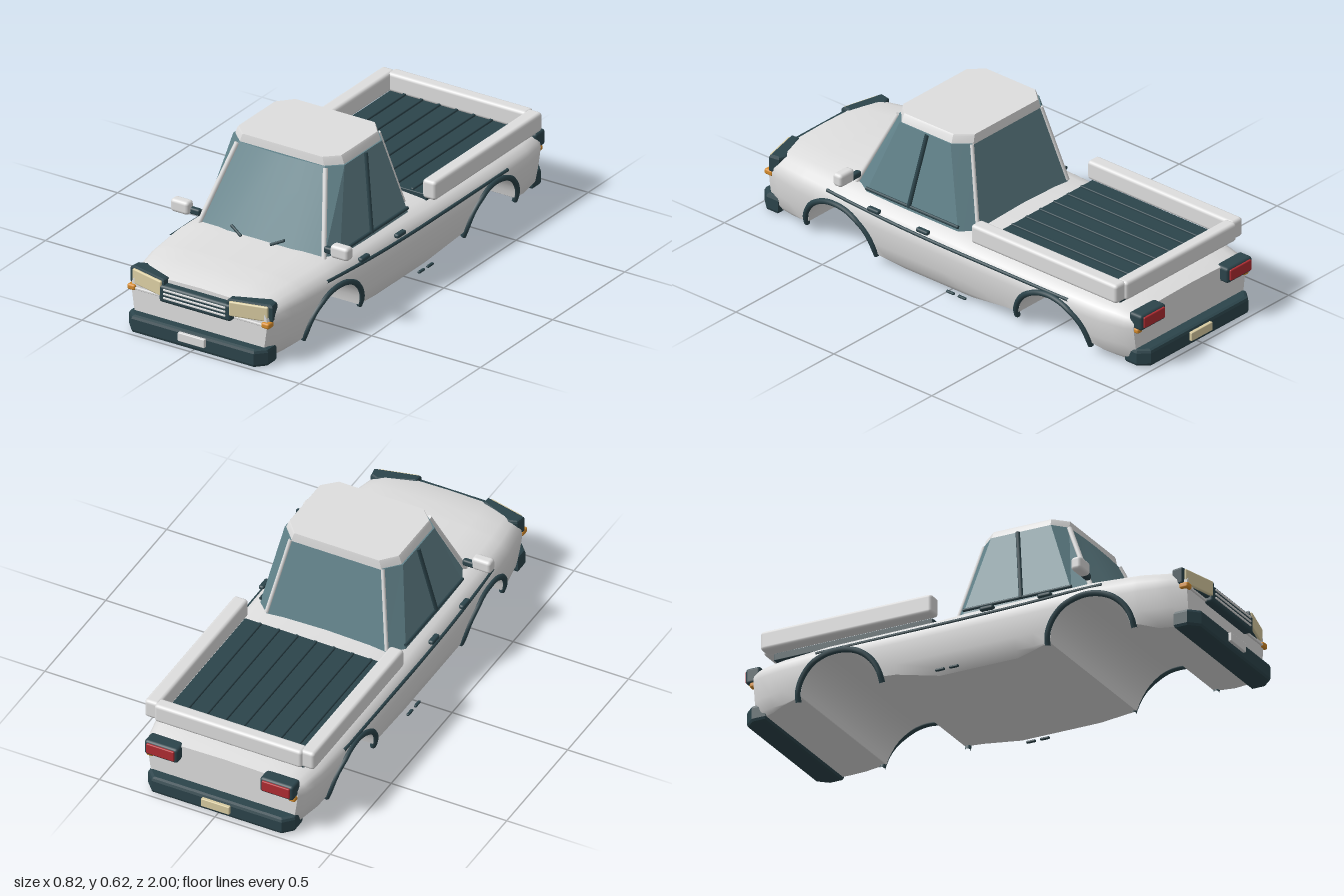
import * as THREE from 'three';
import { toCreasedNormals } from 'three/addons/utils/BufferGeometryUtils.js';
import { RoundedBoxGeometry } from 'three/addons/geometries/RoundedBoxGeometry.js';

const mat = (name, color) => {
  const m = new THREE.MeshStandardMaterial({ color });
  m.name = name;
  return m;
};
const V = (x, y, z) => new THREE.Vector3(x, y, z);

// Linear interpolation in a table of [key, value] with rising keys
function lookup(table, k) {
  if (k <= table[0][0]) return table[0][1];
  for (let i = 1; i < table.length; i++) {
    const [a, va] = table[i - 1], [b, vb] = table[i];
    if (k <= b) return va + (vb - va) * (k - a) / (b - a);
  }
  return table[table.length - 1][1];
}

// Body curves: half width, top height and sill height along z, side profile by height
const WIDTH = [[-0.935, 0.325], [-0.9, 0.345], [-0.8, 0.365], [-0.6, 0.378], [0.55, 0.378], [0.75, 0.36], [0.88, 0.335], [0.94, 0.312]];
const TOP = [[-0.935, 0.236], [-0.85, 0.252], [-0.6, 0.266], [-0.12, 0.272], [0, 0.28], [0.3, 0.285], [0.52, 0.292], [0.75, 0.283], [0.88, 0.268], [0.94, 0.248]];
const SILL = [[-0.935, 0.015], [-0.85, 0.025], [-0.73, 0.05], [-0.36, 0.055], [-0.3, 0.05], [-0.12, 0.015], [0.22, 0.015], [0.36, 0.04], [0.73, 0.045], [0.82, 0.02], [0.94, 0.015]];
const PROFILE = [[0.015, 0.88], [0.04, 0.935], [0.09, 0.965], [0.17, 1], [0.21, 0.99], [0.235, 0.955], [0.255, 0.89], [0.27, 0.78], [0.28, 0.5], [0.285, 0]];
const ARCHES = [0.54, -0.547];
const ARCH_R = 0.172;
const BELT = 0.17;

function bottomY(z) {
  let b = lookup(SILL, z);
  for (const c of ARCHES) {
    const d = Math.abs(z - c);
    if (d < ARCH_R) b = Math.max(b, 0.025 + Math.sqrt(ARCH_R ** 2 - d * d));
  }
  return b;
}
function sideX(y, z) {
  const u = y < BELT ? y : BELT + (y - BELT) * 0.115 / (lookup(TOP, z) - BELT);
  return lookup(WIDTH, z) * lookup(PROFILE, u);
}

// Right half outline (starting and ending on x = 0) completed by mirroring
const mirrorRing = half => [...half, ...half.slice(1, -1).reverse().map(p => V(-p.x, p.y, p.z))];

// Skin over equal rings, capped at both ends
function loft(rings, crease) {
  const n = rings[0].length, last = (rings.length - 1) * n, index = [];
  for (let i = 0; i < rings.length - 1; i++) {
    for (let j = 0; j < n; j++) {
      const a = i * n + j, b = i * n + (j + 1) % n;
      index.push(a, b, b + n, a, b + n, a + n);
    }
  }
  for (let k = 1; k < n - 1; k++) index.push(0, k + 1, k, last, last + k, last + k + 1);
  const g = new THREE.BufferGeometry().setFromPoints(rings.flat());
  g.setIndex(index);
  return toCreasedNormals(g, crease);
}

function bodySection(z) {
  const b = bottomY(z), t = lookup(TOP, z);
  const half = [V(0, b, z), V(0.6 * sideX(b, z), b, z)];
  PROFILE.forEach(([u], k) => {
    const raw = u < BELT ? u : BELT + (u - BELT) * (t - BELT) / 0.115;
    const y = k === PROFILE.length - 1 ? t : Math.max(raw, b + 0.001 * k);
    half.push(V(k === PROFILE.length - 1 ? 0 : sideX(y, z), y, z));
  });
  return mirrorRing(half);
}

export function createModel() {
  const paint = mat('body paint', 0xdedede);
  const trim = mat('dark trim', 0x2c444b);
  const glass = mat('window glass', 0x62838b);
  const lens = mat('headlight lens', 0xdacda2);
  const amber = mat('amber lamp', 0xd68c2c);
  const red = mat('red lamp', 0xb02c32);

  const model = new THREE.Group();
  model.name = 'pickupTruck';
  const add = (name, geo, material) => {
    const m = new THREE.Mesh(geo, material);
    m.name = name;
    model.add(m);
    return m;
  };
  const box = (name, material, w, h, d, x, y, z, r = 0.008) => {
    const m = add(name, new RoundedBoxGeometry(w, h, d, 2, Math.min(r, w / 2.1, h / 2.1, d / 2.1)), material);
    m.position.set(x, y, z);
    return m;
  };
  const rod = (name, material, a, b, r) => {
    const m = add(name, new THREE.CylinderGeometry(r, r, a.distanceTo(b), 10), material);
    m.position.copy(a).add(b).multiplyScalar(0.5);
    m.quaternion.setFromUnitVectors(V(0, 1, 0), b.clone().sub(a).normalize());
    return m;
  };
  const tube = (name, material, pts, r) =>
    add(name, new THREE.TubeGeometry(new THREE.CatmullRomCurve3(pts), 40, r, 8), material);
  // Plan outline of [x, z] raised from y0 to y1 with a bevelled rim
  const slab = (name, material, plan, y0, y1, bevel) => {
    const shape = new THREE.Shape(plan.map(([x, z]) => new THREE.Vector2(x, -z)));
    const g = new THREE.ExtrudeGeometry(shape, {
      depth: y1 - y0 - 2 * bevel, bevelSize: bevel, bevelThickness: bevel, bevelSegments: 2 });
    g.rotateX(-Math.PI / 2).translate(0, y0 + bevel, 0);
    return add(name, g, material);
  };

  // Body shell, sampled finely around the wheel arches
  const stations = new Set([...WIDTH, ...TOP, ...SILL].map(e => e[0]));
  for (const c of ARCHES) {
    for (const z of [...stations]) if (Math.abs(z - c) < ARCH_R + 0.002) stations.delete(z);
    for (let i = 0; i <= 20; i++) stations.add(c + ARCH_R * Math.cos(i * Math.PI / 20));
    stations.add(c + ARCH_R + 0.003).add(c - ARCH_R - 0.003);
  }
  add('bodyShell', loft([...stations].sort((a, b) => a - b).map(bodySection), 0.6), paint);

  // Cab glass and roof
  const ring = (pts, y) => mirrorRing(pts.map(([x, z]) => V(x, y, z)));
  const cabBase = [[0, 0.55], [0.15, 0.542], [0.285, 0.51], [0.315, 0.44], [0.315, -0.03], [0.26, -0.085], [0, -0.085]];
  const cabTop = [[0, 0.378], [0.1, 0.376], [0.2, 0.37], [0.256, 0.32], [0.256, 0.06], [0.2, 0], [0, 0]];
  add('cabGlass', loft([ring(cabBase, 0.262), ring(cabTop, 0.588)], 0.3), glass);
  const roof = [[0, 0.368], [0.195, 0.368], [0.252, 0.315], [0.252, 0.06], [0.195, -0.003], [0, -0.003]];
  const shrink = k => roof.map(([x, z]) => [x * k, 0.183 + (z - 0.183) * (1 - (1 - k) * 0.3)]);
  add('roof', loft([ring(roof, 0.583), ring(shrink(0.955), 0.615), ring(shrink(0.935), 0.622)], 0.4), paint);

  for (const s of [1, -1]) {
    const side = s > 0 ? 'left' : 'right';

    // Pillars and window sill
    rod(side + 'FrontPillar', paint, V(s * 0.203, 0.583, 0.373), V(s * 0.288, 0.27, 0.512), 0.01);
    rod(side + 'RearPillar', paint, V(s * 0.2, 0.585, 0), V(s * 0.26, 0.27, -0.083), 0.008);
    rod(side + 'DoorPillar', trim, V(s * 0.259, 0.585, 0.178), V(s * 0.315, 0.275, 0.222), 0.009);
    rod(side + 'WindowSill', trim, V(s * 0.313, 0.279, 0.44), V(s * 0.313, 0.279, -0.03), 0.007);

    // Mirror and wiper
    box(side + 'Mirror', paint, 0.083, 0.055, 0.045, s * 0.367, 0.325, 0.508, 0.014);
    box(side + 'MirrorArm', trim, 0.05, 0.027, 0.025, s * 0.31, 0.313, 0.5);
    rod(side + 'Wiper', trim, V(s * 0.122, 0.318, 0.535), V(s * 0.068, 0.292, 0.55), 0.006);

    // Wheel arch trims following the body side
    ARCHES.forEach((c, i) => {
      const pts = [];
      for (let k = 0; k <= 16; k++) {
        const a = k * Math.PI / 16, z = c + 0.184 * Math.cos(a), y = 0.032 + 0.166 * Math.sin(a);
        pts.push(V(s * (sideX(y, z) + 0.001), y, z));
      }
      tube(side + (i ? 'RearArchTrim' : 'FrontArchTrim'), trim, pts, 0.012);
    });

    // Side moulding, door handles and sill pipes
    const line = [[0.6, 0.232], [0.45, 0.226], [0.25, 0.217], [0, 0.212], [-0.3, 0.21], [-0.64, 0.208]];
    tube(side + 'SideMoulding', trim, line.map(([z, y]) => V(s * sideX(y, z), y, z)), 0.007);
    for (const z of [0.353, 0.103]) box(side + 'DoorHandle', trim, 0.024, 0.018, 0.06, s * 0.367, 0.237, z);
    for (const z of [-0.04, -0.1]) box(side + 'SillPipe', trim, 0.012, 0.01, 0.04, s * 0.37, 0.022, z, 0.004);

    // Headlight and turn signal
    slab(side + 'HeadlightHousing', trim,
      [[0.153, 0.958], [0.315, 0.918], [0.31, 0.888], [0.285, 0.878], [0.153, 0.935]].map(([x, z]) => [s * x, z]), 0.178, 0.252, 0.01);
    box(side + 'HeadlightLens', lens, 0.16, 0.062, 0.02, s * 0.232, 0.215, 0.946, 0.006).rotation.y = s * 0.242;
    box(side + 'TurnSignal', amber, 0.036, 0.024, 0.04, s * 0.308, 0.172, 0.932);

    // Tail lamp
    box(side + 'TailLampHousing', trim, 0.145, 0.066, 0.065, s * 0.25, 0.203, -0.94, 0.012);
    box(side + 'TailLampLens', red, 0.12, 0.046, 0.012, s * 0.25, 0.205, -0.973, 0.004);
    box(side + 'RearSignal', amber, 0.03, 0.022, 0.035, s * 0.308, 0.163, -0.938);

    // Bed side rail
    box(side + 'BedRail', paint, 0.062, 0.08, 0.745, s * 0.337, 0.315, -0.512, 0.014);
  }

  // Load bed
  box('bedFloor', trim, 0.62, 0.03, 0.69, 0, 0.264, -0.51, 0.003);
  for (let i = -3; i <= 3; i++) box('bedRib', trim, 0.014, 0.012, 0.68, i * 0.08, 0.281, -0.51, 0.004);
  box('tailgate', paint, 0.64, 0.08, 0.056, 0, 0.315, -0.868, 0.014);

  // Grille
  box('grille', trim, 0.33, 0.072, 0.06, 0, 0.195, 0.945, 0.012);
  for (const y of [0.182, 0.199, 0.216]) box('grilleBar', paint, 0.285, 0.008, 0.008, 0, y, 0.975, 0.002);
  box('noseMoulding', paint, 0.6, 0.01, 0.012, 0, 0.17, 0.942, 0.003);

  // Bumpers and plates
  for (const s of [1, -1]) {
    const plan = [[-0.305, 0.9], [0.305, 0.9], [0.305, 0.94], [0.275, 0.973], [-0.275, 0.973], [-0.305, 0.94]];
    const end = s > 0 ? 'front' : 'rear';
    slab(end + 'Bumper', trim, plan.map(([x, z]) => [x, s * z]), s > 0 ? 0 : 0.006, s > 0 ? 0.074 : 0.078, 0.014);
    box(end + 'Plate', s > 0 ? paint : lens, 0.122, 0.036, 0.016, 0, 0.048, s * 0.992, 0.003);
  }
  return model;
}
